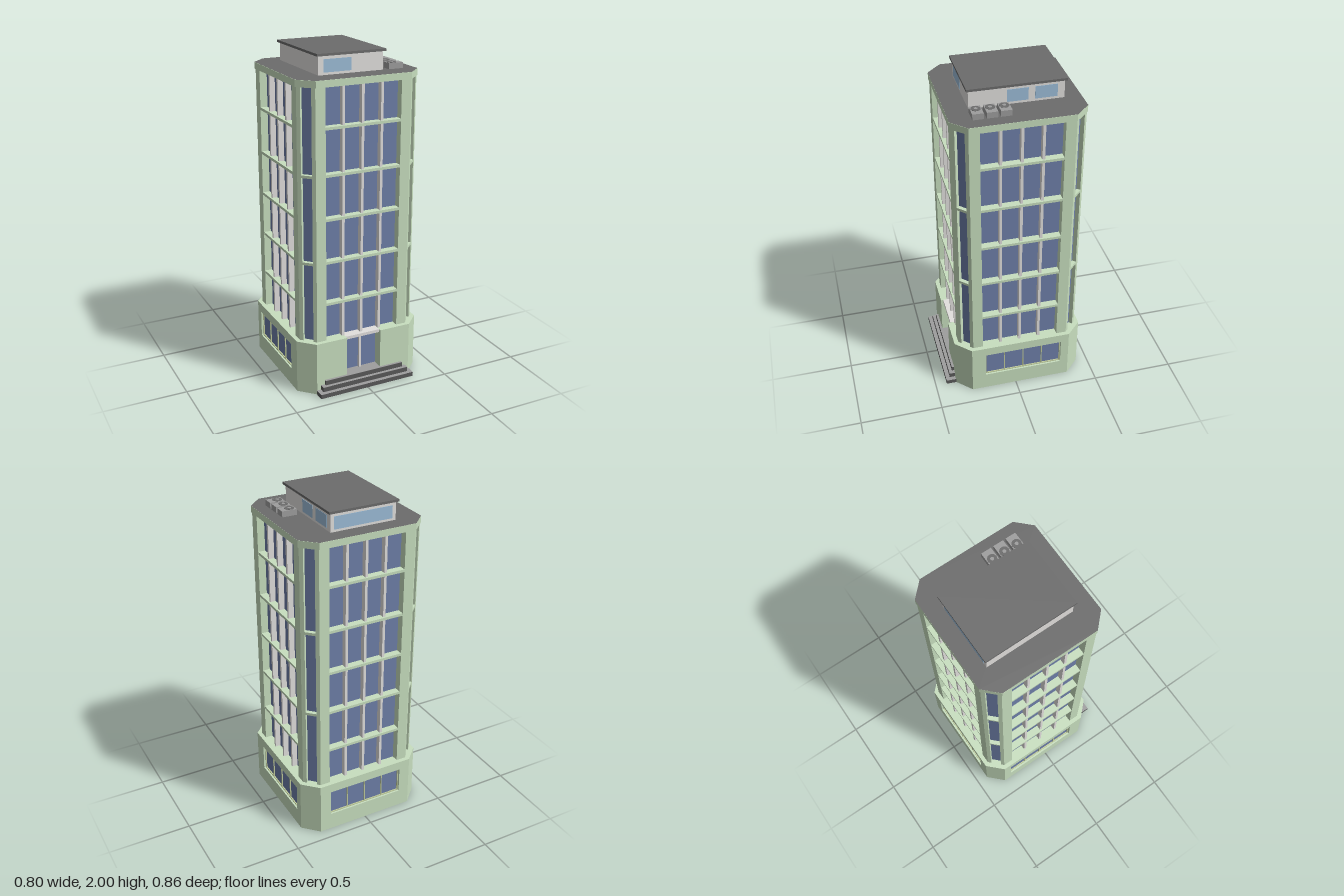
import * as THREE from 'three';

const mat = (name, color, side = THREE.FrontSide) => {
  const m = new THREE.MeshStandardMaterial({ color, side });
  m.name = name;
  return m;
};

export function createModel() {
  const green = mat('pale green wall', 0xc8dfbf, THREE.DoubleSide);
  const frame = mat('yellow green frame', 0xc0cc9c);
  const glass = mat('blue glass', 0x6e7fa9, THREE.DoubleSide);
  const light = mat('light grey', 0xe2e0de);
  const sky = mat('light blue glass', 0x9cbdd8);
  const roofGrey = mat('roof grey', 0x6c6c6c);
  const dark = mat('dark grey', 0x5a5a5a);
  const grey = mat('mid grey', 0x9e9e9e);

  const model = new THREE.Group();
  model.name = 'officeTower';
  const building = new THREE.Group();
  building.name = 'building';
  building.position.z = -0.03;
  model.add(building);

  const mesh = (parent, name, geo, material) => {
    const m = new THREE.Mesh(geo, material);
    m.name = name;
    parent.add(m);
    return m;
  };
  // box and upright plane given by their extents
  const box = (parent, name, material, x0, x1, y0, y1, z0, z1) => {
    const m = mesh(parent, name, new THREE.BoxGeometry(x1 - x0, y1 - y0, z1 - z0), material);
    m.position.set((x0 + x1) / 2, (y0 + y1) / 2, (z0 + z1) / 2);
  };
  const pane = (parent, name, material, x0, x1, y0, y1, z) => {
    const m = mesh(parent, name, new THREE.PlaneGeometry(x1 - x0, y1 - y0), material);
    m.position.set((x0 + x1) / 2, (y0 + y1) / 2, z);
  };
  const rect = (x0, x1, y0, y1, Type = THREE.Shape) => new Type(
    [[x0, y0], [x1, y0], [x1, y1], [x0, y1]].map(p => new THREE.Vector2(...p)));
  const panel = (x0, x1, y0, y1, hole) => {
    const s = rect(x0, x1, y0, y1);
    if (hole) s.holes.push(rect(...hole, THREE.Path));
    return s;
  };
  // group whose z = 0 is a wall plane at the given distance and heading
  const facing = (name, angle, dist) => {
    const turn = new THREE.Group();
    turn.name = name;
    turn.rotation.y = angle;
    const g = new THREE.Group();
    g.name = name + 'Plane';
    g.position.z = dist;
    turn.add(g);
    building.add(turn);
    return g;
  };
  const slabWall = (g, shape, depth) => {
    const geo = new THREE.ExtrudeGeometry(shape, { depth, bevelEnabled: false });
    mesh(g, 'baseWall', geo.translate(0, 0, -depth), green);
  };
  // two piers, their jambs and the recessed glass between them
  const facade = (g, half, open, depth) => {
    pane(g, 'pier', green, -half, -open, 0.33, 1.84, 0);
    pane(g, 'pier', green, open, half, 0.33, 1.84, 0);
    for (const s of [-1, 1]) {
      const jamb = mesh(g, 'jamb', new THREE.PlaneGeometry(depth, 1.51), green);
      jamb.position.set(s * open, 1.085, -depth / 2);
      jamb.rotation.y = -s * Math.PI / 2;
    }
    pane(g, 'glazing', glass, -open, open, 0.33, 1.84, -depth);
  };

  const BASE = 0.4, BC = 0.09, TOW = 0.374, TC = 0.078, CAP = 0.38, REC = 0.045;
  const chamferDist = (h, c) => (2 * h - c) / Math.SQRT2;

  for (let k = 0; k < 4; k++) {
    const a = k * Math.PI / 2;

    // main tower faces: floor bars, and mullion fins that run through the tower
    const face = facing('towerFace', a, TOW);
    facade(face, TOW - TC, 0.235, REC);
    if (k < 2) for (const x of [-0.12, 0, 0.12])
      box(face, 'mullionFin', light, x - 0.008, x + 0.008, 0.331, 1.839, 0.012 - 2 * TOW, -0.012);
    for (const y of [0.56, 0.82, 1.08, 1.34, 1.61])
      box(face, 'floorBar', green, -0.235, 0.235, y - 0.008, y + 0.008, -REC, -0.001);

    // chamfered tower corners with a narrow window
    const corner = facing('towerCorner', a + Math.PI / 4, chamferDist(TOW, TC));
    facade(corner, TC / Math.SQRT2, 0.032, 0.024);
    for (const y of [0.82, 1.34])
      box(corner, 'cornerBar', green, -0.032, 0.032, y - 0.008, y + 0.008, -0.024, 0);

    // base corners
    const baseCorner = facing('baseCorner', a + Math.PI / 4, chamferDist(BASE, BC));
    slabWall(baseCorner, panel(-BC / Math.SQRT2, BC / Math.SQRT2, 0, 0.33), 0.01);

    // base faces: entrance in front, long windows elsewhere
    const base = facing('baseFace', a, BASE);
    const w = BASE - BC;
    if (k === 0) {
      slabWall(base, panel(-w, -0.112, 0, 0.33), 0.065);
      slabWall(base, panel(0.112, w, 0, 0.33), 0.065);
      pane(base, 'doorGlass', glass, -0.112, 0.112, 0.085, 0.33, -0.065);
      box(base, 'doorPost', light, -0.007, 0.007, 0.085, 0.315, -0.065, -0.05);
      box(base, 'doorLintel', light, -0.112, 0.112, 0.312, 0.331, -0.073, -0.015);
    } else {
      const cx = [0, 0.018, 0, -0.018][k];
      const [x0, x1] = [cx - 0.242, cx + 0.242];
      slabWall(base, panel(-w, w, 0, 0.33, [x0, x1, 0.109, 0.273]), 0.02);
      pane(base, 'baseGlass', glass, x0, x1, 0.109, 0.273, -0.019);
      for (let i = 0; i < 5; i++) {
        const x = cx + (i - 2) * 0.119;
        box(base, 'baseWindowBar', frame, x - 0.003, x + 0.003, 0.109, 0.273, -0.019, -0.012);
      }
      for (const y of [0.112, 0.27])
        box(base, 'baseWindowRail', frame, x0, x1, y - 0.003, y + 0.003, -0.019, -0.011);
    }
  }

  // horizontal octagons; shape y points to the back
  const oct = (h, c) => [[-h, c - h], [c - h, -h], [h - c, -h], [h, c - h],
    [h, h - c], [h - c, h], [c - h, h], [-h, h - c]];
  const vec = pts => pts.map(p => new THREE.Vector2(...p));
  const flat = (name, geo, y, material) => {
    const m = mesh(building, name, geo, material);
    m.rotation.x = -Math.PI / 2;
    m.position.y = y;
  };
  const outer = oct(BASE, BC);
  outer.splice(2, 0, [-0.112, -BASE], [-0.112, -0.34], [0.112, -0.34], [0.112, -BASE]);
  const ledge = new THREE.Shape(vec(outer));
  ledge.holes.push(new THREE.Path(vec(oct(0.328, 0.08))));
  flat('baseLedge', new THREE.ShapeGeometry(ledge), 0.33, green);

  // parapet band and roof
  const capShape = new THREE.Shape(vec(oct(CAP, 0.085)));
  flat('parapetBand', new THREE.ExtrudeGeometry(capShape, { depth: 0.039, bevelEnabled: false }), 1.84, green);
  flat('mainRoof', new THREE.ShapeGeometry(capShape), 1.88, roofGrey);

  // entrance steps: grey treads, dark risers
  const stepMats = [dark, dark, grey, dark, dark, dark];
  [[0.312, 0.43, 0, 0.027], [0.285, 0.405, 0.027, 0.056], [0.26, 0.385, 0.056, 0.085]]
    .forEach(([x, z, y0, y1]) => {
      box(model, 'step', stepMats, -x, x, y0, y1, 0.368, z);
    });
  box(model, 'porchFloor', stepMats, -0.112, 0.112, 0.056, 0.085, 0.305, 0.37);

  // rooftop house
  const house = new THREE.Group();
  house.name = 'roofHouse';
  model.add(house);
  box(house, 'houseWalls', light, -0.222, 0.18, 1.88, 1.986, -0.313, 0.222);
  box(house, 'houseRoof', roofGrey, -0.234, 0.193, 1.986, 2, -0.325, 0.234);
  box(house, 'frontWindow', sky, -0.19, -0.02, 1.894, 1.967, 0.22, 0.224);
  box(house, 'backWindow', sky, -0.2, 0.16, 1.894, 1.967, -0.315, -0.31);
  for (const [z0, z1] of [[-0.11, 0.01], [-0.273, -0.147]])
    box(house, 'sideWindow', sky, 0.178, 0.182, 1.894, 1.967, z0, z1);

  // cooling units
  for (const z of [0.042, 0.119, 0.197]) {
    const unit = new THREE.Group();
    unit.name = 'coolingUnit';
    model.add(unit);
    box(unit, 'unitBody', grey, 0.215, 0.305, 1.88, 1.914, z - 0.031, z + 0.031);
    const fan = mesh(unit, 'fan', new THREE.CylinderGeometry(0.028, 0.028, 0.004, 10), roofGrey);
    fan.position.set(0.247, 1.914, z);
    const hub = mesh(unit, 'fanHub', new THREE.CylinderGeometry(0.011, 0.011, 0.004, 8), grey);
    hub.position.set(0.247, 1.9155, z);
  }
  return model;
}
